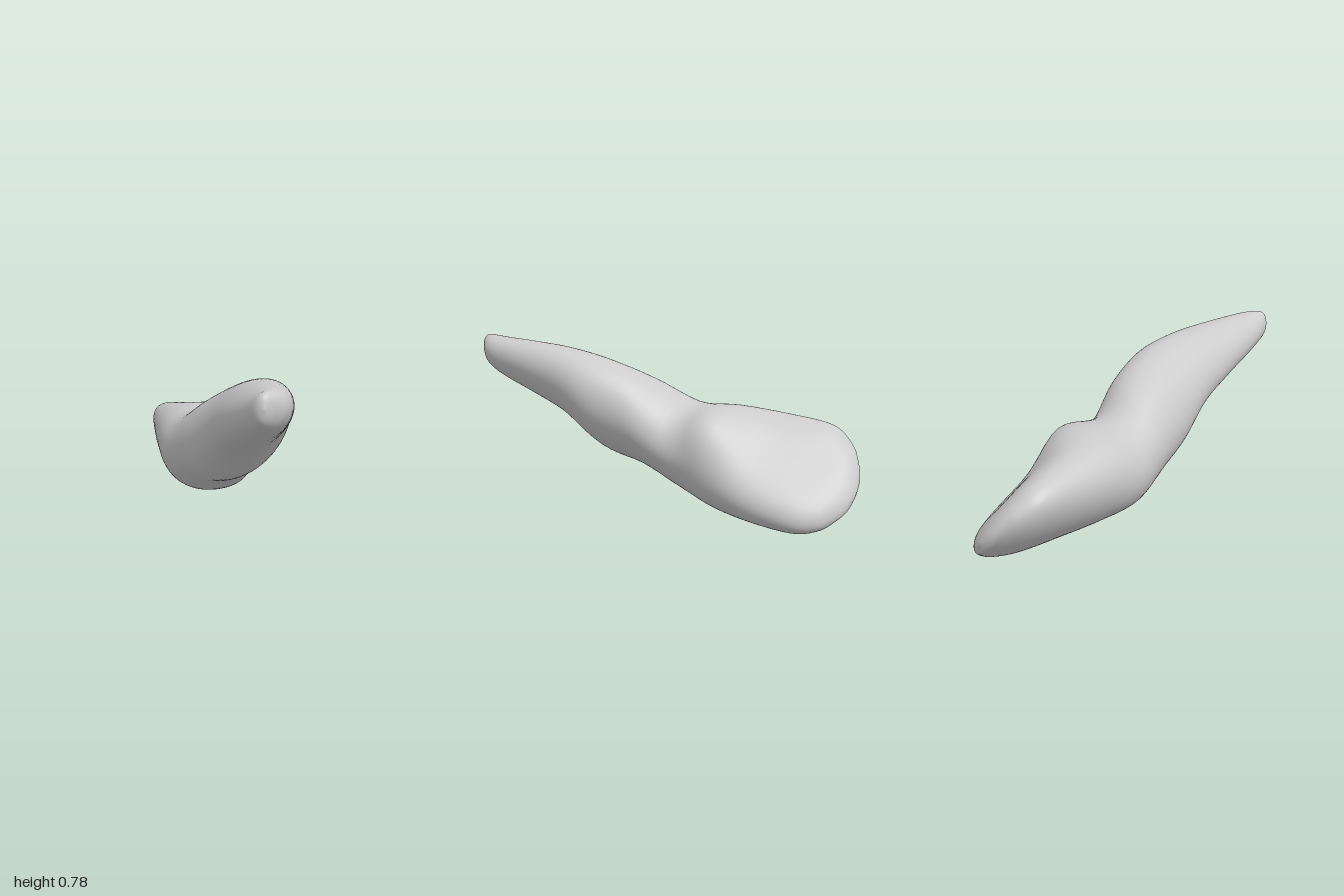
import * as THREE from 'three';

// Stations along z: [z, xMin, xMax, yMin, yMax, skew, hollow]
// skew leans the oval (+ toward upper +x, - toward upper -x)
// hollow scoops the inner face; negative values swell it
const stations = [
  [-1.0, -0.11, -0.11, 0.17, 0.17, -0.8, 0],
  [-0.985, -0.18, -0.04, 0.1, 0.235, -0.8, 0],
  [-0.95, -0.235, 0.03, 0.055, 0.305, -0.78, 0.005],
  [-0.9, -0.285, 0.09, 0.02, 0.365, -0.73, 0.015],
  [-0.8, -0.327, 0.15, 0.0, 0.435, -0.63, 0.03],
  [-0.6, -0.318, 0.2, 0.015, 0.475, -0.43, 0.02],
  [-0.4, -0.297, 0.208, 0.04, 0.5, -0.23, -0.04],
  [-0.2, -0.26, 0.207, 0.09, 0.515, 0.05, 0.005],
  [0.0, -0.185, 0.27, 0.18, 0.63, 0.25, 0],
  [0.2, -0.11, 0.328, 0.25, 0.71, 0.3, 0],
  [0.4, -0.04, 0.324, 0.395, 0.75, 0.3, 0],
  [0.6, 0.01, 0.31, 0.485, 0.766, 0.26, 0],
  [0.8, 0.06, 0.28, 0.56, 0.776, 0.2, 0],
  [0.9, 0.085, 0.25, 0.605, 0.781, 0.15, 0],
  [0.96, 0.105, 0.205, 0.64, 0.78, 0.1, 0],
  [0.988, 0.125, 0.175, 0.672, 0.765, 0.1, 0],
  [1.0, 0.15, 0.15, 0.72, 0.72, 0.1, 0],
];

function toothGeometry(stepsPerStation = 6, sides = 64) {
  const spline = new THREE.CubicInterpolant(stations.map((_, i) => i), stations.flat(), stations[0].length);
  const rows = (stations.length - 1) * stepsPerStation;
  const positions = [];
  const indices = [];

  for (let i = 0; i <= rows; i++) {
    const [z, x0, x1, y0, y1, skew, hollow] = spline.evaluate(i / stepsPerStation);
    const phase = Math.acos(skew);
    for (let j = 0; j < sides; j++) {
      const t = (j / sides) * Math.PI * 2;
      // Scoop strongest in the middle of the inner face, fading at its margins
      const scoop = hollow * Math.max(0, Math.cos(t - phase / 2)) ** 4;
      positions.push(
        (x0 + x1) / 2 + ((x1 - x0) / 2) * Math.cos(t) - scoop,
        (y0 + y1) / 2 + ((y1 - y0) / 2) * Math.cos(t - phase) - scoop,
        z
      );
      // Quads between rows; the end rows are single points, so they get one fan each
      const a = i * sides + j;
      const b = i * sides + ((j + 1) % sides);
      if (i > 0 && i < rows) indices.push(a, b, a + sides);
      if (i < rows - 1) indices.push(b, b + sides, a + sides);
    }
  }
  const geometry = new THREE.BufferGeometry();
  geometry.setAttribute('position', new THREE.Float32BufferAttribute(positions, 3));
  geometry.setIndex(indices);
  geometry.computeVertexNormals();

  // Give the collapsed end points straight-out normals
  const normals = geometry.attributes.normal;
  for (let j = 0; j < sides; j++) {
    normals.setXYZ(j, 0, 0, -1);
    normals.setXYZ(rows * sides + j, 0, 0, 1);
  }
  return geometry;
}

export function createModel() {
  const model = new THREE.Group();
  model.name = 'tooth';

  // Root and crown in one continuous smooth surface
  const tooth = new THREE.Mesh(toothGeometry(), new THREE.MeshStandardMaterial({ color: 0xcccccc }));
  tooth.name = 'rootAndCrown';
  model.add(tooth);
  return model;
}
